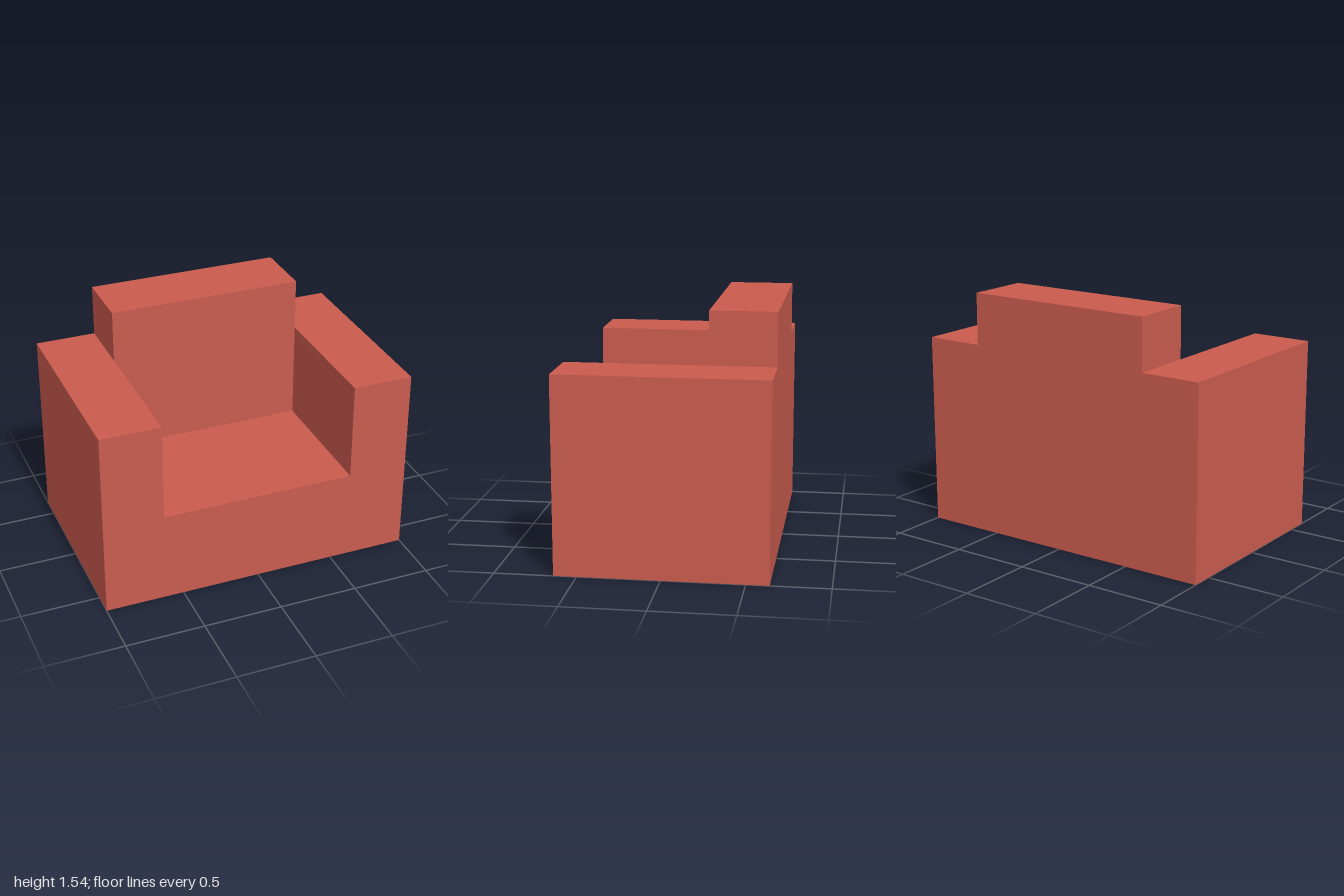
import * as THREE from 'three';

const HALF_WIDTH = 1, HALF_DEPTH = 0.64;
const INNER = 0.617;        // inner face of each arm
const SEAT_Y = 0.587, ARM_Y = 1.212, BACK_Y = 1.54;
const BACK_FRONT_Z = -0.235;

export function createModel() {
  const group = new THREE.Group();
  group.name = 'armchair';
  const red = new THREE.MeshStandardMaterial({ color: 0xc95b4e });
  red.name = 'red upholstery';

  // Seat base and both arms: one U-shaped profile run front to back
  const profile = new THREE.Shape([
    [-HALF_WIDTH, 0], [HALF_WIDTH, 0], [HALF_WIDTH, ARM_Y], [INNER, ARM_Y],
    [INNER, SEAT_Y], [-INNER, SEAT_Y], [-INNER, ARM_Y], [-HALF_WIDTH, ARM_Y],
  ].map(([x, y]) => new THREE.Vector2(x, y)));
  const bodyGeometry = new THREE.ExtrudeGeometry(profile, { depth: 2 * HALF_DEPTH, bevelEnabled: false });
  bodyGeometry.translate(0, 0, -HALF_DEPTH);
  const body = new THREE.Mesh(bodyGeometry, red);
  body.name = 'seatAndArms';
  group.add(body);

  // Backrest block between the arms, flush with the rear
  const height = BACK_Y - SEAT_Y, depth = BACK_FRONT_Z + HALF_DEPTH;
  const backrest = new THREE.Mesh(new THREE.BoxGeometry(2 * INNER, height, depth), red);
  backrest.name = 'backrest';
  backrest.position.set(0, SEAT_Y + height / 2, -HALF_DEPTH + depth / 2);
  group.add(backrest);

  return group;
}
